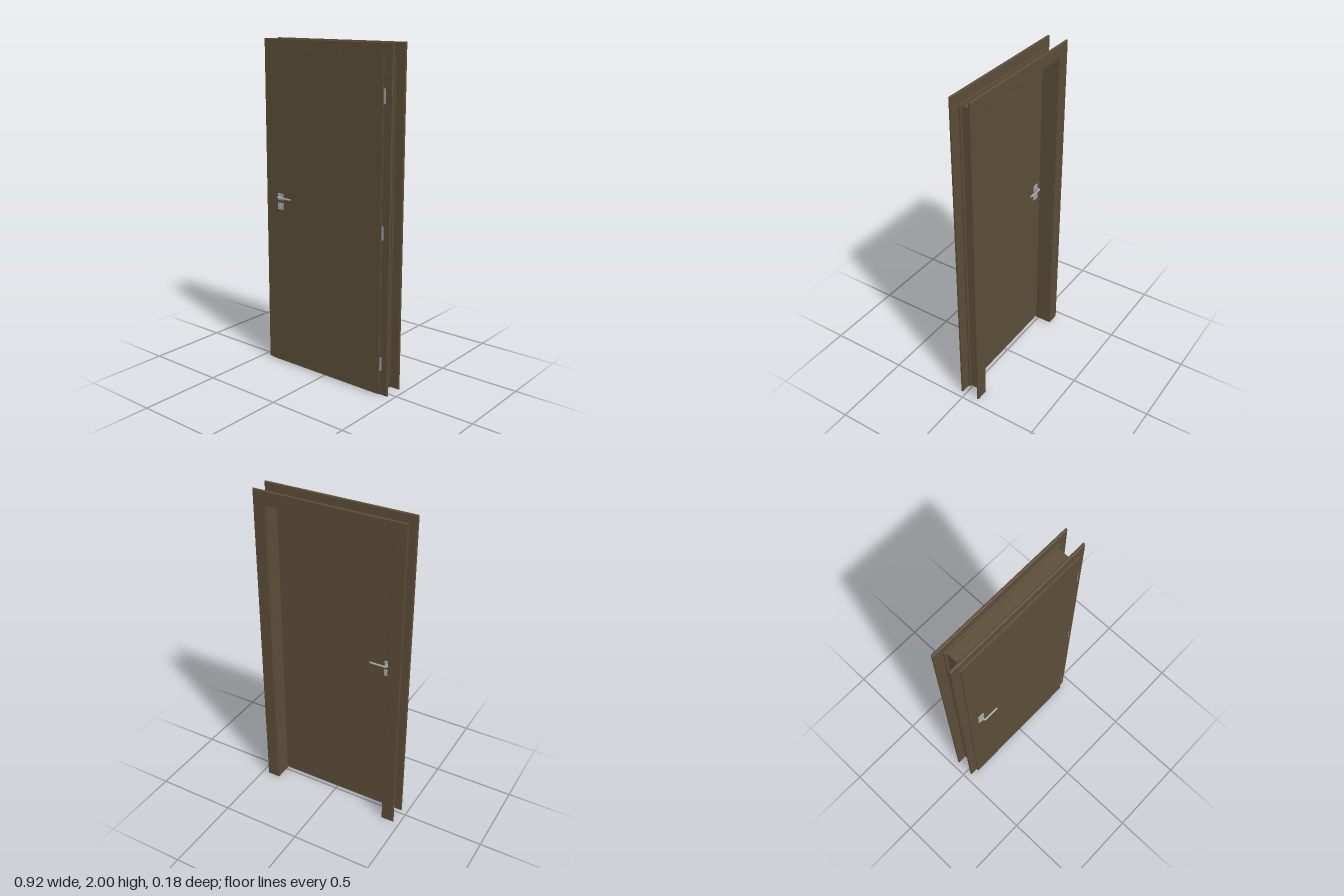
import * as THREE from 'three';

export function createModel() {
  const model = new THREE.Group();
  model.name = 'door';
  const mat = (name, color) => {
    const m = new THREE.MeshStandardMaterial({ color });
    m.name = name;
    return m;
  };
  const brown = mat('brown', 0x5b4d37);
  const metal = mat('metal', 0xa3a5a6);
  const hingeGrey = mat('hinge grey', 0x87929a);

  const add = (parent, name, geometry, material) => {
    const mesh = new THREE.Mesh(geometry, material);
    mesh.name = name;
    parent.add(mesh);
    return mesh;
  };
  // Box given by its limits on each axis
  const block = (parent, name, [x0, x1], [y0, y1], [z0, z1], material) => {
    const g = new THREE.BoxGeometry(x1 - x0, y1 - y0, z1 - z0);
    g.translate((x0 + x1) / 2, (y0 + y1) / 2, (z0 + z1) / 2);
    return add(parent, name, g, material);
  };
  // Frame layer running up both sides and over the top, open at the floor
  const surround = (name, outX, outY, inX, inY, z0, z1, bevel = 0) => {
    const pts = [[-outX, 0], [-inX, 0], [-inX, inY], [inX, inY],
      [inX, 0], [outX, 0], [outX, outY], [-outX, outY]];
    const shape = new THREE.Shape(pts.map(p => new THREE.Vector2(...p)));
    const g = new THREE.ExtrudeGeometry(shape, {
      depth: z1 - z0 - 2 * bevel, bevelEnabled: bevel > 0, bevelSegments: 1,
      bevelSize: bevel, bevelThickness: bevel, bevelOffset: -bevel,
    });
    g.translate(0, 0, z0 + bevel);
    add(frame, name, g, brown);
  };

  // Frame: two casings joined by a stepped lining
  const frame = new THREE.Group();
  frame.name = 'frame';
  model.add(frame);
  surround('backCasing', 0.46, 2, 0.38, 1.918, -0.0935, -0.08, 0.003);
  surround('backStep', 0.4, 1.937, 0.38, 1.918, -0.0805, -0.07);
  surround('lining', 0.385, 1.925, 0.38, 1.918, -0.071, 0.014);
  surround('frontStep', 0.4, 1.937, 0.38, 1.918, 0.012, 0.0165);
  surround('rebate', 0.4, 1.937, 0.395, 1.932, 0.016, 0.023);
  surround('frontCasing', 0.46, 2, 0.395, 1.932, 0.0225, 0.037, 0.003);

  // Leaf: body inside the rebate and a wider front lip over the casing
  const leaf = new THREE.Group();
  leaf.name = 'leaf';
  model.add(leaf);
  block(leaf, 'leafBody', [-0.393, 0.393], [0.009, 1.93], [0.017, 0.041], brown);
  block(leaf, 'leafRim', [-0.405, 0.405], [0.009, 1.946], [0.04, 0.0455], brown);
  block(leaf, 'leafFace', [-0.411, 0.411], [0.008, 1.952], [0.045, 0.053], brown);
  block(leaf, 'bottomSeal', [-0.385, 0.385], [0, 0.009], [0.022, 0.034], metal);

  // Hinges
  for (const y of [0.195, 0.972, 1.722]) {
    const hinge = new THREE.Group();
    hinge.name = 'hinge';
    hinge.position.set(0.417, y, 0.046);
    const pin = new THREE.CylinderGeometry(0.006, 0.006, 0.038, 16);
    for (const s of [-1, 1]) {
      add(hinge, 'knuckle', pin, hingeGrey).position.y = s * 0.0205;
    }
    add(hinge, 'hingePin', new THREE.CylinderGeometry(0.004, 0.004, 0.07, 12), hingeGrey);
    model.add(hinge);
  }

  // Lever handle set, pointing along its own +z from the leaf surface
  const lever = new THREE.CurvePath();
  const a = new THREE.Vector3(0, 0, 0.005), b = new THREE.Vector3(0, 0, 0.024);
  const c = new THREE.Vector3(0, 0, 0.032), d = new THREE.Vector3(0.008, 0, 0.032);
  const e = new THREE.Vector3(0.1, 0, 0.032);
  lever.add(new THREE.LineCurve3(a, b));
  lever.add(new THREE.QuadraticBezierCurve3(b, c, d));
  lever.add(new THREE.LineCurve3(d, e));
  const handleSet = (name) => {
    const g = new THREE.Group();
    g.name = name;
    block(g, 'rose', [-0.02, 0.02], [-0.02, 0.02], [0, 0.006], metal);
    add(g, 'lever', new THREE.TubeGeometry(lever, 40, 0.0055, 12), metal);
    const tip = add(g, 'leverTip', new THREE.CircleGeometry(0.0055, 12), metal);
    tip.position.copy(e);
    tip.rotation.y = Math.PI / 2;
    block(g, 'keyPlate', [-0.02, 0.02], [-0.078, -0.038], [0, 0.006], metal);
    const lock = add(g, 'lockCylinder', new THREE.CylinderGeometry(0.007, 0.007, 0.006, 16), metal);
    lock.rotation.x = Math.PI / 2;
    lock.position.set(0, -0.054, 0.007);
    block(g, 'lockTail', [-0.0035, 0.0035], [-0.071, -0.054], [0.004, 0.01], metal);
    model.add(g);
    return g;
  };
  handleSet('frontHandle').position.set(-0.33, 1.07, 0.053);
  const back = handleSet('backHandle');
  // Half turn about the lever axis, then the plate is put back below the lever
  back.position.set(-0.33, 1.07, 0.017);
  back.rotation.x = Math.PI;
  for (const part of back.children) {
    if (part.name === 'keyPlate') part.position.y = 0.116;
    if (part.name === 'lockCylinder') part.position.y = 0.062;
    if (part.name === 'lockTail') part.position.y = 0.116;
  }
  return model;
}
